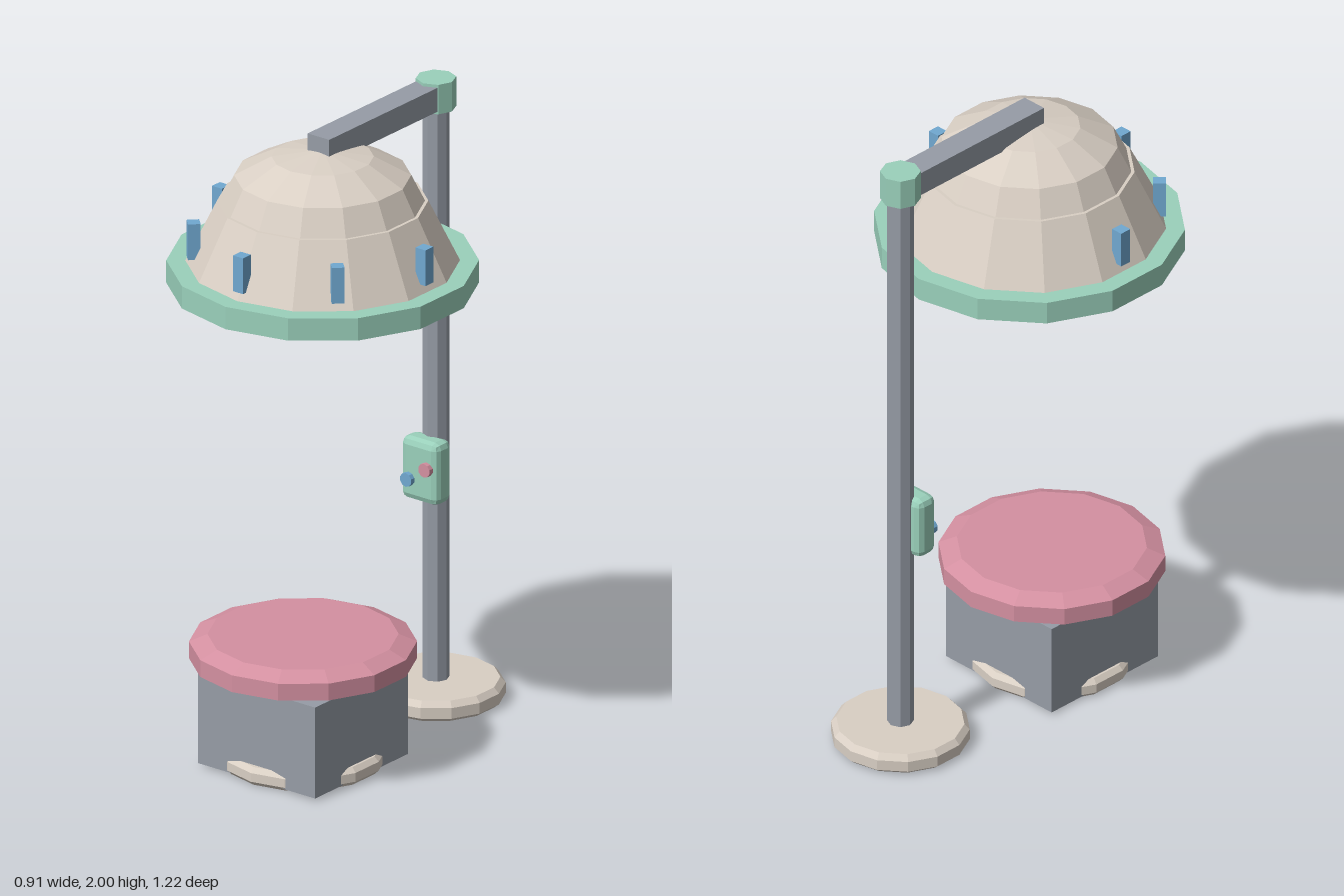
import * as THREE from 'three';
import { RoundedBoxGeometry } from 'three/addons/geometries/RoundedBoxGeometry.js';

const material = (name, color) => {
  const m = new THREE.MeshStandardMaterial({ color, flatShading: true });
  m.name = name;
  return m;
};

export function createModel() {
  const model = new THREE.Group();
  model.name = 'hoodDryerStation';

  const cream = material('cream', 0xd9cfc4);
  const mint = material('mint', 0x9ad0bb);
  const rose = material('rose', 0xd490a1);
  const grey = material('grey', 0x969ca6);
  const blue = material('blue', 0x70a8d0);

  const add = (name, geometry, mat, x, y, z, parent = model) => {
    const mesh = new THREE.Mesh(geometry, mat);
    mesh.name = name;
    mesh.position.set(x, y, z);
    parent.add(mesh);
    return mesh;
  };
  // upright prism standing between two heights
  const post = (name, mat, r, y0, y1, z, sides, rTop = r) =>
    add(name, new THREE.CylinderGeometry(rTop, r, y1 - y0, sides), mat, 0, (y0 + y1) / 2, z);
  // turned part from [radius, height] pairs, bottom to top
  const turned = (name, mat, profile, z, sides = 14) =>
    add(name, new THREE.LatheGeometry(profile.map(([r, y]) => new THREE.Vector2(r, y)), sides), mat, 0, 0, z);

  const poleZ = -0.403, chairZ = 0.234, hoodZ = 0.14;

  // Stand: weighted foot, pole, cap and arm
  turned('standFoot', cream, [[0, 0.003], [0.192, 0.003], [0.208, 0.016], [0.208, 0.05], [0.192, 0.068], [0, 0.068]], poleZ);
  post('pole', grey, 0.04, 0.05, 1.95, poleZ, 8);
  post('poleCap', mint, 0.061, 1.905, 2, poleZ, 8);
  add('arm', new THREE.BoxGeometry(0.082, 0.077, 0.56), grey, 0, 1.952, -0.12);

  // Hood: rim, tapered shell, faceted crown and heater below
  post('hoodRim', mint, 0.466, 1.514, 1.586, hoodZ, 14);
  post('hoodShell', cream, 0.427, 1.55, 1.778, hoodZ, 14, 0.315);
  const crown = [];
  for (let i = 0; i <= 3; i++) {
    const a = (i * Math.PI) / 6;
    crown.push([i === 3 ? 0 : 0.305 * Math.cos(a), 1.778 + 0.165 * Math.sin(a)]);
  }
  turned('hoodCrown', cream, crown, hoodZ);
  post('heater', grey, 0.087, 1.418, 1.52, hoodZ, 10);

  // Vents around the front half of the hood
  const vents = new THREE.Group();
  vents.name = 'hoodVents';
  model.add(vents);
  for (let i = -2; i <= 2; i++) {
    const a = (i * Math.PI) / 4;
    const vent = add('vent', new THREE.BoxGeometry(0.038, 0.115, 0.038), blue,
      0.387 * Math.sin(a), 1.67, hoodZ + 0.387 * Math.cos(a), vents);
    vent.rotation.y = a;
  }

  // Control box with two knobs
  add('controlBox', new RoundedBoxGeometry(0.14, 0.2, 0.076, 1, 0.022), mint, 0, 0.755, -0.356);
  [['timerKnob', rose, 0.033, 0.772], ['heatKnob', blue, -0.036, 0.725]].forEach(([name, mat, x, y]) => {
    const knob = add(name, new THREE.CylinderGeometry(0.022, 0.022, 0.022, 10), mat, x, y, -0.314);
    knob.rotation.x = Math.PI / 2;
  });

  // Chair: foot, box pedestal, stem and cushion
  turned('chairFoot', cream, [[0, 0.002], [0.236, 0.002], [0.25, 0.016], [0.25, 0.044], [0.236, 0.059], [0, 0.059]], chairZ);
  add('chairPedestal', new THREE.BoxGeometry(0.446, 0.293, 0.446), grey, 0, 0.157, chairZ);
  post('chairStem', grey, 0.056, 0.29, 0.345, chairZ, 8);
  turned('seatCushion', rose, [[0, 0.334], [0.34, 0.334], [0.34, 0.388], [0.285, 0.412], [0, 0.412]], chairZ);

  return model;
}
